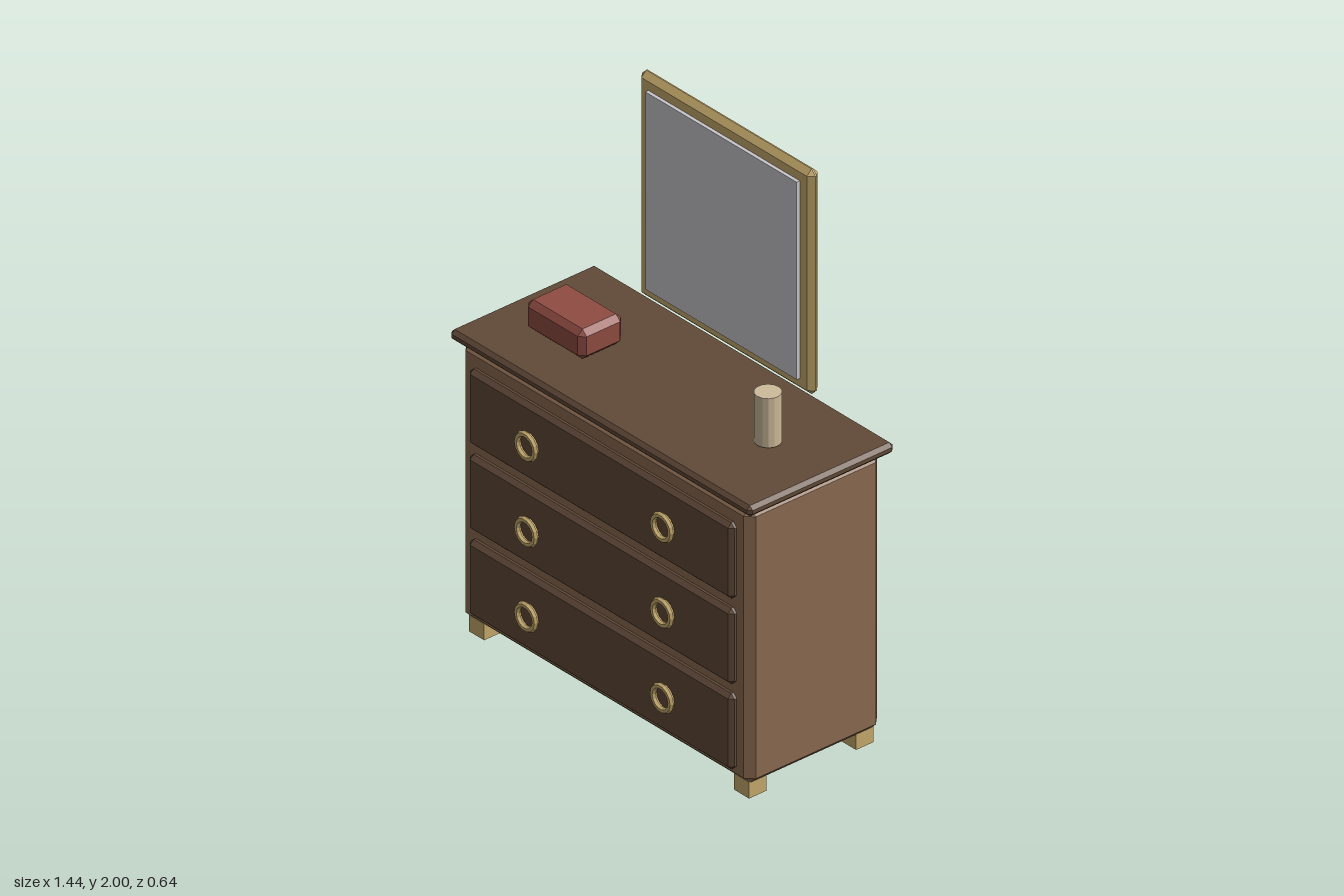
import * as THREE from 'three';
import { ConvexGeometry } from 'three/addons/geometries/ConvexGeometry.js';

const mat = (name, color, flatShading = false) => {
  const m = new THREE.MeshStandardMaterial({ color, flatShading });
  m.name = name;
  return m;
};

// Box with all edges cut at 45 degrees, given by its bounds [min, max]
function chamferBox(x, y, z, c) {
  const half = [x, y, z].map(([a, b]) => (b - a) / 2);
  const mid = [x, y, z].map(([a, b]) => (a + b) / 2);
  const pts = [];
  for (let axis = 0; axis < 3; axis++)
    for (const sx of [-1, 1]) for (const sy of [-1, 1]) for (const sz of [-1, 1]) {
      const p = [sx, sy, sz].map((s, i) => mid[i] + s * (half[i] - (i === axis ? 0 : c)));
      pts.push(new THREE.Vector3(...p));
    }
  return new ConvexGeometry(pts);
}

export function createModel() {
  const model = new THREE.Group();
  model.name = 'dresser';

  const wood = mat('body wood', 0x8b6a50);
  const darkWood = mat('dark wood', 0x614a38);
  const brass = mat('brass', 0xc6aa6c, true);
  const glass = mat('mirror glass', 0xc8c6cc);
  const red = mat('red lacquer', 0x8f4c42);
  const cream = mat('cream', 0xcdbb9a, true);

  const add = (name, geometry, material, x = 0, y = 0, z = 0) => {
    const mesh = new THREE.Mesh(geometry, material);
    mesh.name = name;
    mesh.position.set(x, y, z);
    model.add(mesh);
    return mesh;
  };

  // Cabinet and overhanging top
  add('body', chamferBox([-0.695, 0.695], [0.053, 1.075], [-0.29, 0.267], 0.027), wood);
  add('top', chamferBox([-0.722, 0.722], [1.071, 1.111], [-0.32, 0.29], 0.013), darkWood);

  // Feet
  for (const x of [-0.636, 0.636]) for (const z of [-0.236, 0.212])
    add('foot', new THREE.BoxGeometry(0.073, 0.06, 0.073), brass, x, 0.03, z);

  // Drawers with ring handles
  for (const y of [0.235, 0.55, 0.866]) {
    add('drawer', chamferBox([-0.634, 0.634], [y - 0.14, y + 0.14], [0.247, 0.291], 0.015), darkWood);
    for (const x of [-0.326, 0.326])
      add('ringHandle', new THREE.TorusGeometry(0.043, 0.011, 6, 14), brass, x, y + 0.002, 0.31);
  }

  // Mirror
  add('mirrorFrame', chamferBox([-0.417, 0.417], [1.168, 2], [-0.278, -0.233], 0.02), brass);
  add('mirrorGlass', new THREE.BoxGeometry(0.727, 0.73, 0.02), glass, 0, 1.583, -0.23);

  // Objects standing on the top
  add('jewelleryBox', chamferBox([-0.558, -0.28], [1.118, 1.228], [-0.062, 0.118], 0.02), red);
  add('cylinderJar', new THREE.CylinderGeometry(0.045, 0.045, 0.182, 14), cream, 0.461, 1.211, -0.015);

  return model;
}
